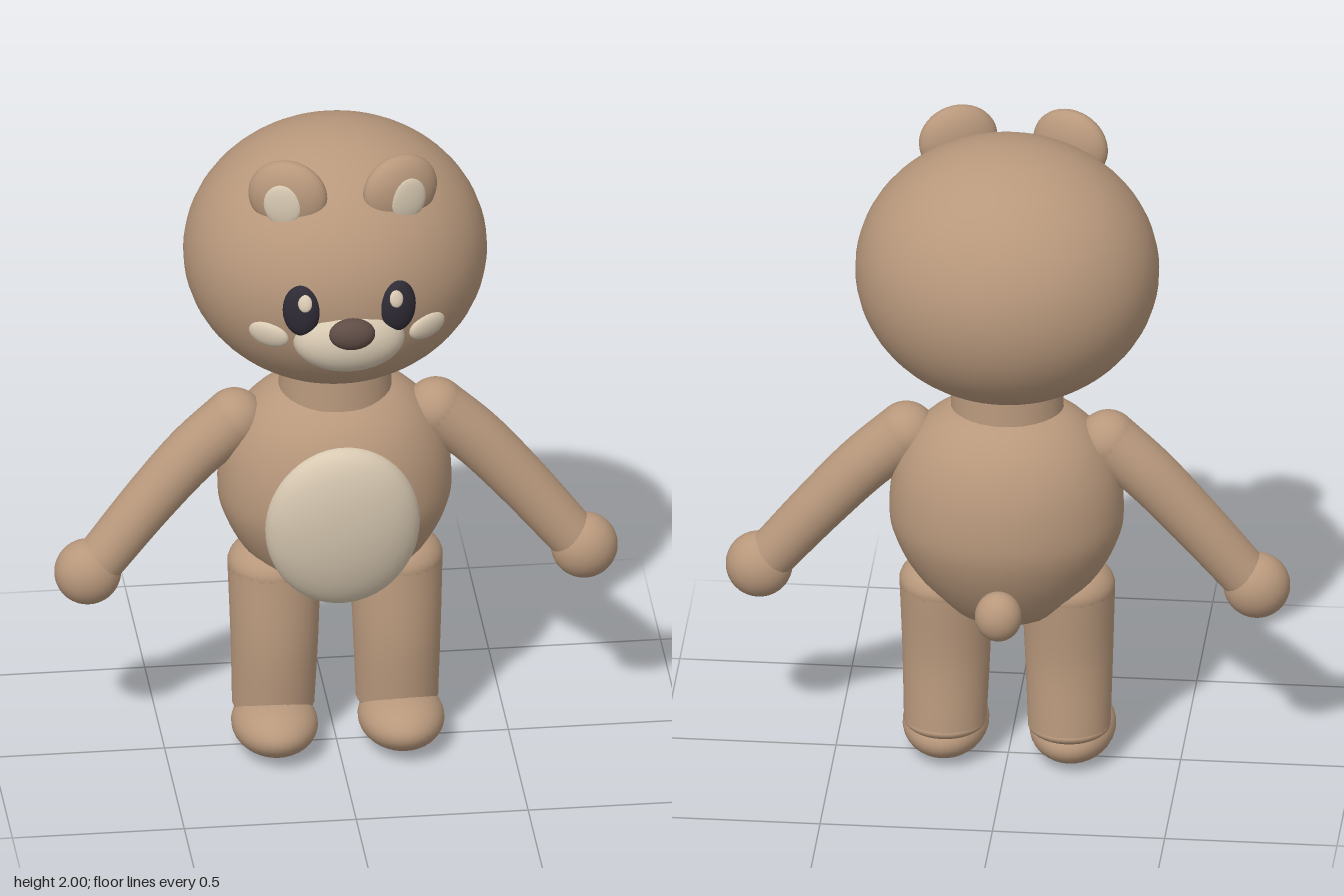
import * as THREE from 'three';

const material = (name, color) => {
  const m = new THREE.MeshStandardMaterial({ color });
  m.name = name;
  return m;
};

export function createModel() {
  const fur = material('tan fur', 0xb8987c);
  const cream = material('cream', 0xd8c9b2);
  const dark = material('dark eye', 0x2f2b36);
  const brown = material('brown nose', 0x5f4c45);

  const model = new THREE.Group();
  model.name = 'toyBear';

  const add = (name, geometry, mat, parent = model) => {
    const mesh = new THREE.Mesh(geometry, mat);
    mesh.name = name;
    parent.add(mesh);
    return mesh;
  };

  // Ellipsoid with centre, radii and optional rotation
  const blob = (name, mat, pos, radii, rot = [0, 0, 0], parent = model, seg = 32) => {
    const mesh = add(name, new THREE.SphereGeometry(1, seg, Math.round(seg * 0.75)), mat, parent);
    mesh.position.set(...pos);
    mesh.scale.set(...radii);
    mesh.rotation.set(...rot);
    return mesh;
  };

  // Tube along a curve whose radius runs from r0 to r1
  const limbGeometry = (points, r0, r1) => {
    const steps = 20, sides = 24;
    const curve = new THREE.CatmullRomCurve3(points.map((p) => new THREE.Vector3(...p)));
    const geo = new THREE.TubeGeometry(curve, steps, 1, sides);
    const pos = geo.attributes.position, v = new THREE.Vector3();
    for (let i = 0; i < pos.count; i++) {
      const t = Math.floor(i / (sides + 1)) / steps;
      const c = curve.getPointAt(t);
      v.fromBufferAttribute(pos, i).sub(c).multiplyScalar(r0 + (r1 - r0) * t).add(c);
      pos.setXYZ(i, v.x, v.y, v.z);
    }
    return geo;
  };

  // Head and neck
  blob('head', fur, [0, 1.595, -0.035], [0.44, 0.395, 0.397], [0, 0, 0], model, 48);
  const neck = add('neck', new THREE.CylinderGeometry(0.158, 0.165, 0.14, 32), fur);
  neck.position.set(0, 1.205, -0.035);
  neck.scale.z = 0.92;

  // Pear-like body, slightly flattened front to back
  const profile = new THREE.SplineCurve([
    [0, 0.456], [0.15, 0.51], [0.255, 0.62], [0.322, 0.74], [0.34, 0.84],
    [0.322, 0.97], [0.265, 1.08], [0.165, 1.155], [0, 1.19],
  ].map(([x, y]) => new THREE.Vector2(x, y)));
  const outline = profile.getPoints(40);
  outline.forEach((p) => { p.x = Math.max(p.x, 0); });
  const body = add('body', new THREE.LatheGeometry(outline, 40), fur);
  body.scale.z = 0.825;
  body.position.z = -0.053;
  blob('bellyPatch', cream, [0, 0.785, 0.152], [0.225, 0.27, 0.09], [0.13, 0, 0], model, 40);
  blob('tail', fur, [0, 0.607, -0.314], [0.068, 0.075, 0.062]);

  // Muzzle and nose
  blob('muzzle', cream, [0, 1.483, 0.31], [0.163, 0.103, 0.088]);
  blob('nose', brown, [0, 1.538, 0.397], [0.067, 0.048, 0.038]);

  // Mirrored parts: the left side is +x
  for (const [side, s] of [['left', 1], ['right', -1]]) {
    // Ear with a pale inside
    const ear = new THREE.Group();
    ear.name = side + 'Ear';
    ear.position.set(s * 0.163, 1.892, 0.188);
    ear.rotation.y = s * 0.35;
    model.add(ear);
    blob('earShell', fur, [0, 0, 0], [0.117, 0.11, 0.051], [0, 0, 0], ear);
    blob('innerEar', cream, [s * 0.006, -0.012, 0.042], [0.056, 0.066, 0.014], [0, 0, 0], ear);

    // Face details
    blob(side + 'Eye', dark, [s * 0.14, 1.59, 0.332], [0.055, 0.081, 0.033], [0, s * 0.29, 0]);
    blob(side + 'EyeHighlight', cream, [s * 0.133, 1.627, 0.362], [0.021, 0.026, 0.009],
      [-0.35, s * 0.25, 0], model, 16);
    blob(side + 'Cheek', cream, [s * 0.23, 1.495, 0.288], [0.062, 0.041, 0.02], [0.2, s * 0.52, 0]);

    // Arm with rounded shoulder, and hand
    const shoulder = [s * 0.293, 1.055, -0.037];
    add(side + 'Arm', limbGeometry([
      shoulder, [s * 0.41, 0.95, -0.037], [s * 0.535, 0.81, -0.03], [s * 0.69, 0.62, -0.014],
    ], 0.087, 0.073), fur);
    blob(side + 'Shoulder', fur, shoulder, [0.087, 0.087, 0.087]);
    blob(side + 'Hand', fur, [s * 0.722, 0.59, -0.012], [0.097, 0.098, 0.088]);

    // Leg with rounded ends, and foot
    const hip = [s * 0.177, 0.58, -0.037], ankle = [s * 0.18, 0.13, -0.035];
    add(side + 'Leg', limbGeometry([hip, [s * 0.178, 0.35, -0.022], ankle], 0.136, 0.12), fur);
    blob(side + 'Hip', fur, hip, [0.136, 0.085, 0.136]);
    blob(side + 'Ankle', fur, ankle, [0.12, 0.04, 0.12]);
    blob(side + 'Foot', fur, [s * 0.184, 0.09, 0.032], [0.125, 0.085, 0.176], [-0.06, 0, 0]);
  }

  return model;
}
